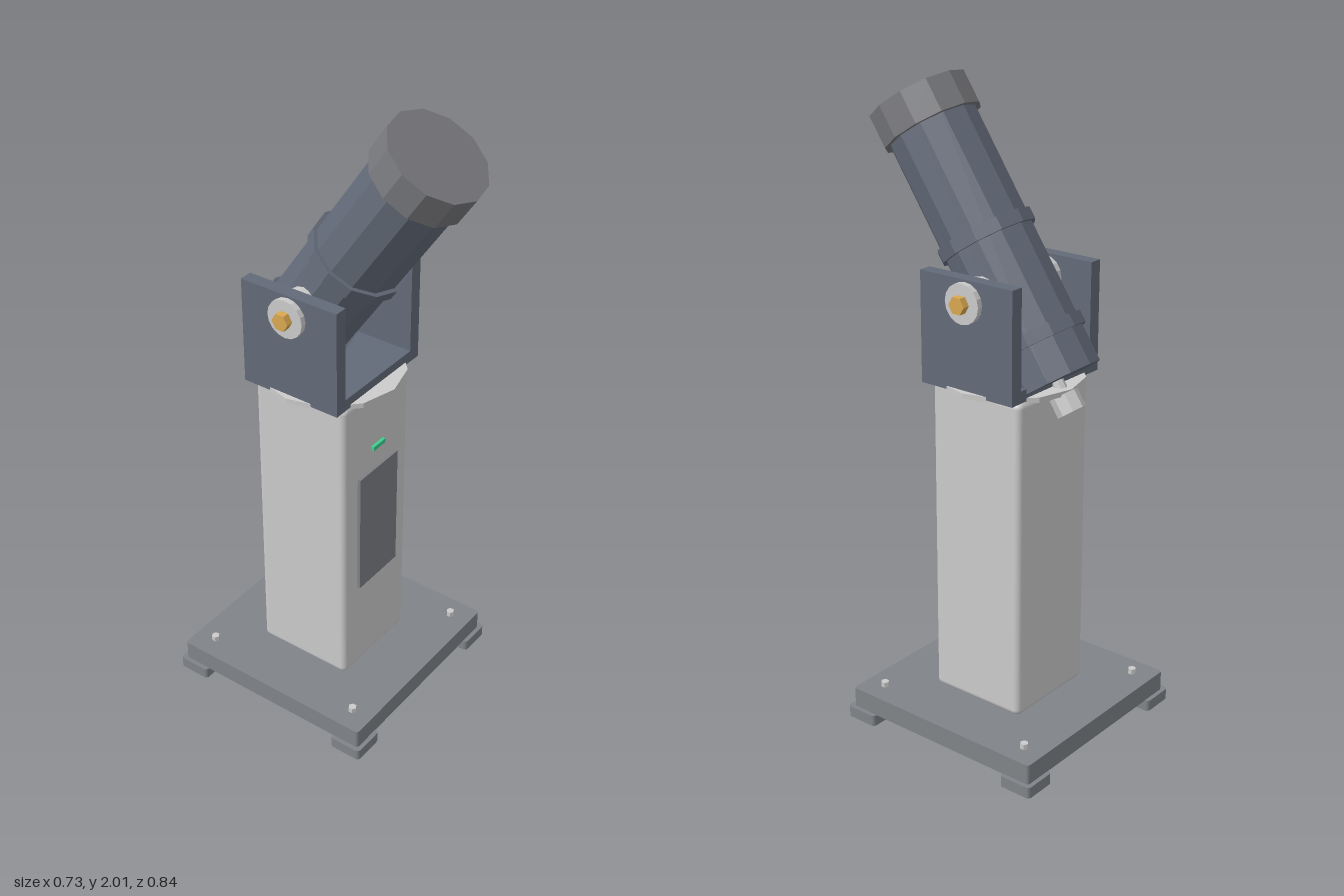
import * as THREE from 'three';
import { RoundedBoxGeometry } from 'three/addons/geometries/RoundedBoxGeometry.js';

const mat = (color, flatShading = true) => new THREE.MeshStandardMaterial({ color, flatShading });
const M = {
  body: mat(0xcccccc, false),
  plate: mat(0x808488, false),
  panel: mat(0x7c7f85),
  yoke: mat(0x636a78),
  tube: mat(0x636a78),
  cap: mat(0x77787c),
  steel: mat(0xcccccc),
  brass: mat(0xd9a850),
  light: mat(0x3fcf8f),
};

function add(parent, name, geometry, material, x = 0, y = 0, z = 0) {
  const mesh = new THREE.Mesh(geometry, material);
  mesh.name = name;
  mesh.position.set(x, y, z);
  parent.add(mesh);
  return mesh;
}

// Box with rounded vertical edges only, centred on its origin
function slab(w, h, d, r) {
  const s = new THREE.Shape();
  const a = w / 2, b = d / 2;
  s.moveTo(a, b - r);
  s.absarc(a - r, b - r, r, 0, Math.PI / 2);
  s.absarc(-a + r, b - r, r, Math.PI / 2, Math.PI);
  s.absarc(-a + r, -b + r, r, Math.PI, Math.PI * 1.5);
  s.absarc(a - r, -b + r, r, Math.PI * 1.5, Math.PI * 2);
  s.closePath();
  const g = new THREE.ExtrudeGeometry(s, { depth: h, bevelEnabled: false, curveSegments: 4 });
  return g.rotateX(-Math.PI / 2).translate(0, -h / 2, 0);
}

const drum = (r, from, to, sides = 12) =>
  new THREE.CylinderGeometry(r, r, to - from, sides).translate(0, (from + to) / 2, 0);

export function createModel() {
  const model = new THREE.Group();
  model.name = 'telescopeOnPedestal';
  // Everything but the tilted tube is centred on the pedestal axis
  const stand = new THREE.Group();
  stand.name = 'stand';
  stand.position.z = -0.055;
  model.add(stand);

  // Base plate with corner feet and anchor bolts
  add(stand, 'basePlate', slab(0.7, 0.065, 0.7, 0.01), M.plate, 0, 0.0675, 0);
  for (const x of [-1, 1]) for (const z of [-1, 1]) {
    add(stand, 'foot', slab(0.11, 0.036, 0.11, 0.012), M.plate, x * 0.309, 0.018, z * 0.309);
    add(stand, 'anchorBolt', drum(0.013, 0.09, 0.117, 6), M.steel, x * 0.28, 0, z * 0.28);
  }

  // Column with front panel and status light
  add(stand, 'column', new RoundedBoxGeometry(0.33, 1.025, 0.33, 3, 0.02), M.body, 0, 0.6125, 0);
  add(stand, 'frontPanel', new THREE.BoxGeometry(0.195, 0.42, 0.02), M.panel, 0, 0.633, 0.165);
  add(stand, 'statusLight', new THREE.BoxGeometry(0.06, 0.014, 0.016), M.light, 0, 0.92, 0.167);

  // Turntable and yoke
  add(stand, 'turntable', drum(0.225, 1.124, 1.14), M.steel);
  add(stand, 'yokeBase', new THREE.BoxGeometry(0.41, 0.037, 0.337), M.yoke, 0, 1.149, 0);
  for (const side of [-1, 1]) {
    add(stand, 'yokeArm', new THREE.BoxGeometry(0.042, 0.342, 0.337), M.yoke, side * 0.184, 1.301, 0);
    const pivot = new THREE.Group();
    pivot.name = 'pivot';
    pivot.position.y = 1.405;
    pivot.rotation.z = -side * Math.PI / 2;
    stand.add(pivot);
    add(pivot, 'pivotWasher', drum(0.061, 0.13, 0.223, 16), M.steel);
    add(pivot, 'pivotBolt', drum(0.028, 0.2, 0.246, 6), M.brass);
  }

  // Tilted tube, built upright about the pivot
  const tube = new THREE.Group();
  tube.name = 'tubeAssembly';
  tube.position.y = 1.405;
  tube.rotation.x = THREE.MathUtils.degToRad(34.3);
  stand.add(tube);
  add(tube, 'tube', drum(0.14, -0.305, 0.6), M.tube);
  add(tube, 'lensCap', drum(0.157, 0.517, 0.62), M.cap).rotation.y = -0.06;
  add(tube, 'upperBand', drum(0.152, 0.143, 0.182), M.tube);
  add(tube, 'lowerBand', drum(0.152, -0.188, -0.15), M.tube);
  add(tube, 'focusStem', drum(0.02, -0.355, -0.3, 8), M.steel);
  add(tube, 'focusKnob', drum(0.045, -0.405, -0.348, 8), M.steel);
  return model;
}
